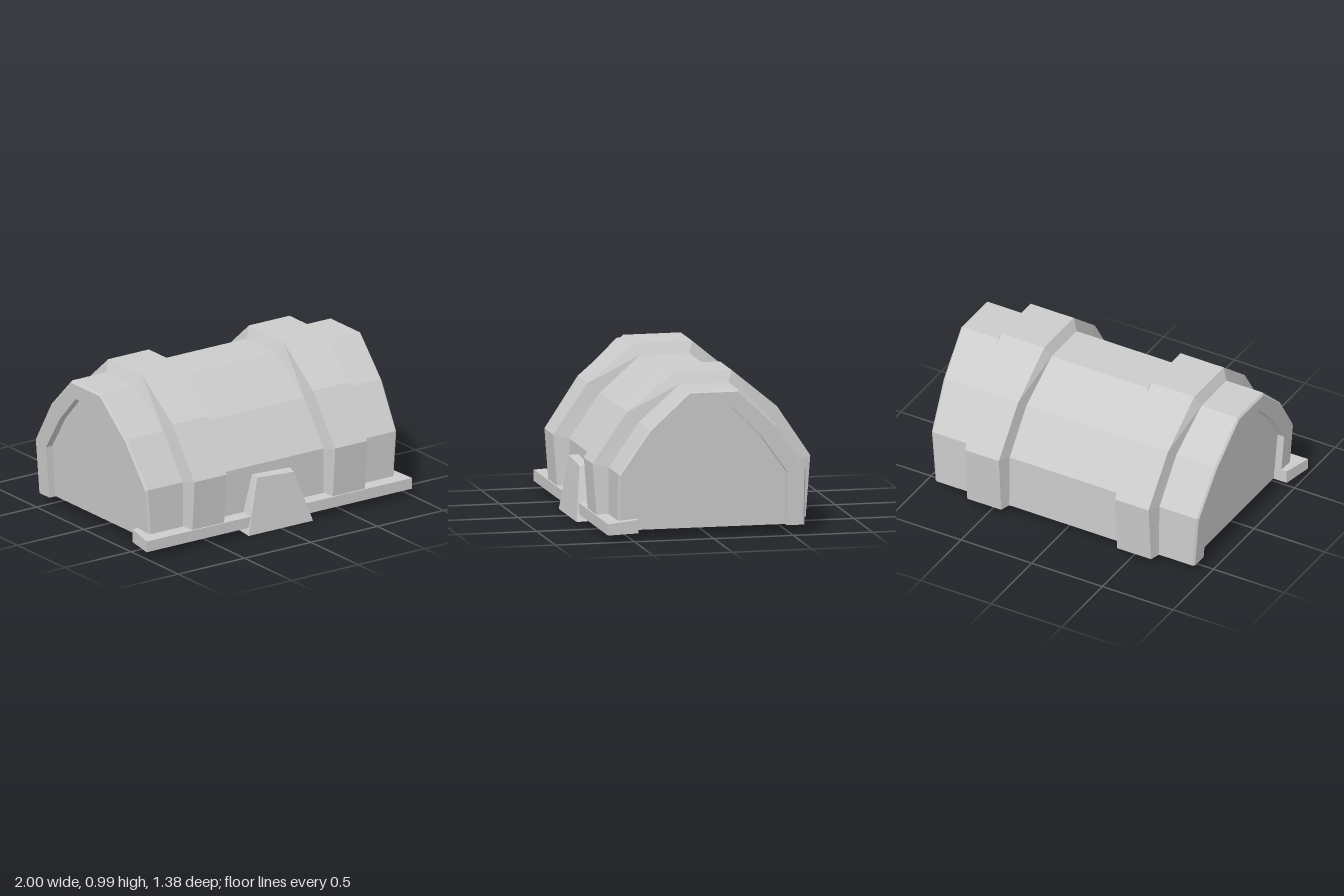
import * as THREE from 'three';

const material = new THREE.MeshStandardMaterial({ color: 0xcccccc, flatShading: true });
const FLOOR = 0.05;
const MID_Z = -0.004;

// Half profiles as [z, y], from the bottom edge up to the flat top
const OUTER = [[0.59, FLOOR], [0.59, 0.41], [0.4, 0.69], [0.155, 0.92]];
const BEVEL = [[0.58, FLOOR], [0.58, 0.403], [0.393, 0.68], [0.15, 0.907]];
const INNER = [[0.474, FLOOR], [0.474, 0.385], [0.305, 0.62], [0.115, 0.81]];
const CAVITY = [[0.462, FLOOR], [0.468, 0.385], [0.3, 0.615], [0.113, 0.805]];
const STRAP = [[0.657, FLOOR], [0.686, 0.433], [0.472, 0.75], [0.182, 0.99]];

// Mirrors a half profile into a full arch; xOf gives x for each level
function arch(half, xOf) {
  const front = half.map(([z, y], i) => [xOf(y, i), y, MID_Z + z]);
  const back = half.map(([z, y], i) => [xOf(y, i), y, MID_Z - z]).reverse();
  return [...front, ...back];
}

// Ends lean outward towards the top
const endX = (y, inset = 0) => 0.914 + 0.077 * y - inset;
const leaning = (half, sign, inset) => arch(half, (y) => sign * endX(y, inset));
const point = (p, n) => Array(n).fill(p);

function quad(out, a, b, c, d) {
  out.push(...a, ...b, ...c, ...a, ...c, ...d);
}

// Skins a row of rings with equal point counts
function loft(out, rings, closed = false) {
  for (let r = 0; r < rings.length - 1; r++) {
    const a = rings[r], b = rings[r + 1], n = a.length;
    for (let i = 0; i < (closed ? n : n - 1); i++) {
      const j = (i + 1) % n;
      quad(out, a[i], b[i], b[j], a[j]);
    }
  }
}

function toMesh(name, positions) {
  const g = new THREE.BufferGeometry();
  g.setAttribute('position', new THREE.Float32BufferAttribute(positions, 3));
  g.computeVertexNormals();
  const mesh = new THREE.Mesh(g, material);
  mesh.name = name;
  return mesh;
}

// Barrel-shaped shell with recessed end panels, hollow underneath
function makeShell() {
  const out = [];
  const recess = 0.047, wallLeft = 0.077, wallRight = 0.115, bevel = 0.012;
  const endPoint = (s, inset) => point([s * endX(FLOOR, inset), FLOOR, MID_Z], 8);
  loft(out, [
    endPoint(-1, recess), leaning(INNER, -1, recess), leaning(INNER, -1), leaning(BEVEL, -1),
    leaning(OUTER, -1, bevel), leaning(OUTER, 1, bevel),
    leaning(BEVEL, 1), leaning(INNER, 1), leaning(INNER, 1, recess), endPoint(1, recess),
  ]);
  // cavity
  loft(out, [
    endPoint(1, wallLeft), leaning(CAVITY, 1, wallLeft),
    leaning(CAVITY, -1, wallRight), endPoint(-1, wallRight),
  ]);
  // underside frame
  const rim = endX(FLOOR), panel = endX(FLOOR, recess);
  const strip = (x0, x1, z0, z1) => quad(out,
    [x0, FLOOR, MID_Z + z0], [x1, FLOOR, MID_Z + z0], [x1, FLOOR, MID_Z + z1], [x0, FLOOR, MID_Z + z1]);
  const [cz, iz, oz] = [CAVITY, INNER, OUTER].map((p) => p[0][0]);
  strip(-rim, rim, iz, oz);
  strip(-rim, rim, -oz, -iz);
  strip(-panel, panel, cz, iz);
  strip(-panel, panel, -iz, -cz);
  strip(endX(FLOOR, wallLeft), panel, -cz, cz);
  strip(-panel, -endX(FLOOR, wallRight), -cz, cz);
  return toMesh('shell', out);
}

// Raised strap with sloping flanks, widening towards the top
function makeStrap(name, center) {
  const face = [0.12, 0.12, 0.135, 0.153];
  const foot = [0.138, 0.141, 0.152, 0.188];
  const rings = [
    arch(OUTER, (y, i) => center - foot[i]),
    arch(STRAP, (y, i) => center - face[i]),
    arch(STRAP, (y, i) => center + face[i]),
    arch(OUTER, (y, i) => center + foot[i]),
  ];
  const out = [];
  loft(out, rings);
  quad(out, rings[0][0], rings[3][0], rings[2][0], rings[1][0]);
  quad(out, rings[0][7], rings[1][7], rings[2][7], rings[3][7]);
  return toMesh(name, out);
}

// Ledge along the front, slightly narrower and higher at its back
function makeLedge() {
  const g = new THREE.BoxGeometry(2, 0.08, 0.2).translate(0, 0.085, 0.567);
  const p = g.attributes.position;
  for (let i = 0; i < p.count; i++) {
    const back = p.getZ(i) < 0.567, top = p.getY(i) > 0.085;
    if (back) p.setX(i, p.getX(i) * 0.963);
    p.setY(i, top ? (back ? 0.13 : 0.115) : 0.045);
  }
  g.computeVertexNormals();
  const mesh = new THREE.Mesh(g, material);
  mesh.name = 'frontLedge';
  return mesh;
}

// Tapered, slightly crooked clasp with a slot in its underside
function makeClasp() {
  const rect = (x0, x1, z0, z1, y) => [[x1, y, z1], [x0, y, z1], [x0, y, z0], [x1, y, z0]];
  const out = [];
  loft(out, [
    point([0, 0.07, 0.627], 4),
    rect(-0.11, 0.11, 0.605, 0.648, 0.07),
    rect(-0.12, 0.12, 0.602, 0.652, 0.004),
    [[0.24, 0, 0.686], [-0.245, 0, 0.686], [-0.243, 0.01, 0.565], [0.252, 0.008, 0.565]],
    [[0.128, 0.329, 0.643], [-0.15, 0.35, 0.645], [-0.15, 0.355, 0.575], [0.138, 0.342, 0.575]],
    point([-0.008, 0.344, 0.608], 4),
  ], true);
  return toMesh('clasp', out);
}

export function createModel() {
  const model = new THREE.Group();
  model.name = 'chestLid';
  model.add(
    makeShell(),
    makeStrap('leftStrap', 0.53),
    makeStrap('rightStrap', -0.53),
    makeLedge(),
    makeClasp(),
  );
  return model;
}
